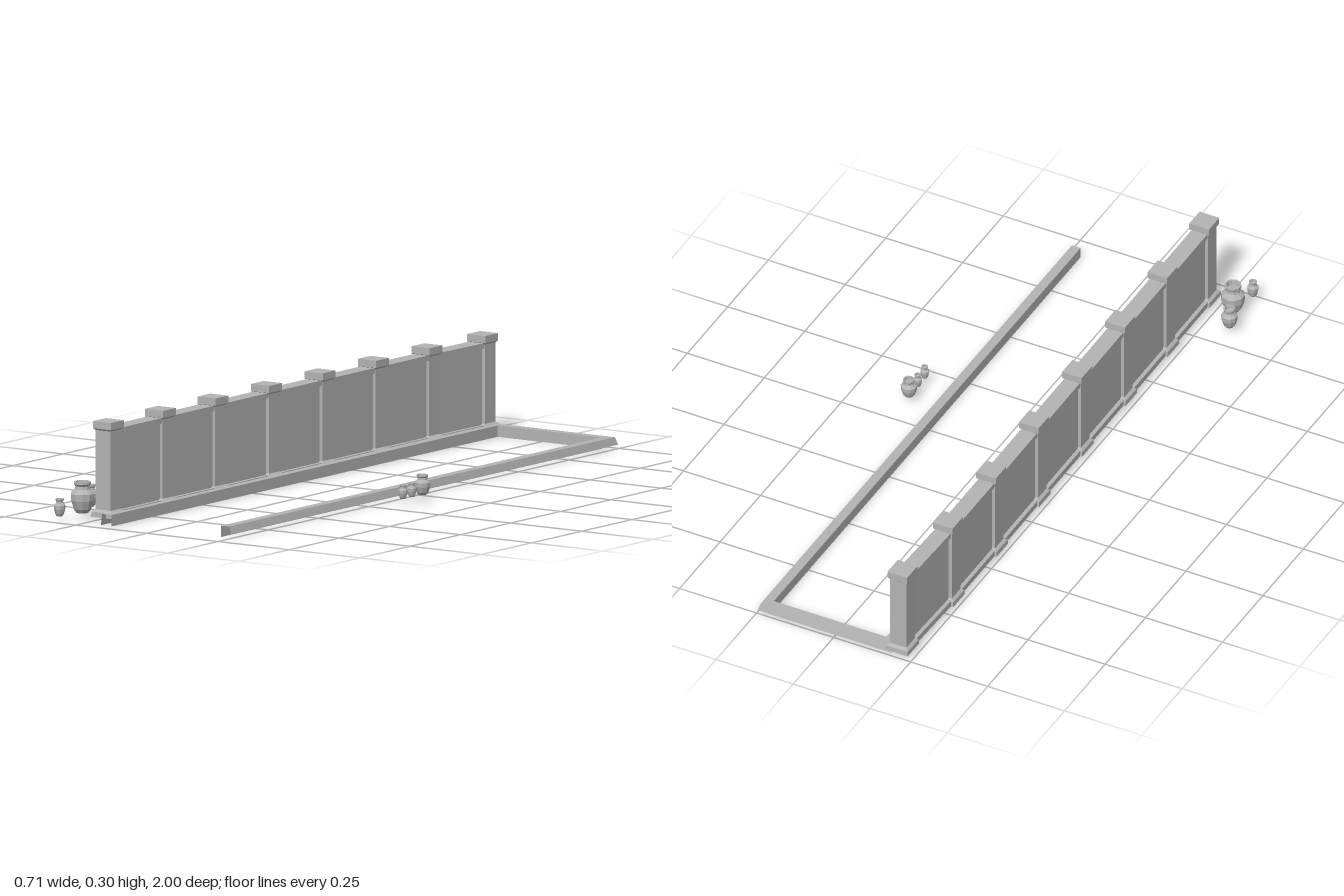
import * as THREE from 'three';

const stone = new THREE.MeshStandardMaterial({ color: 0xb4b4b4, side: THREE.DoubleSide, flatShading: true });
stone.name = 'grey stone';

function add(parent, geometry, name, x = 0, y = 0, z = 0) {
  const mesh = new THREE.Mesh(geometry, stone);
  mesh.name = name;
  mesh.position.set(x, y, z);
  parent.add(mesh);
  return mesh;
}

// Square block that may taper: half widths at bottom and top, between two heights
function block(parent, name, bottom, top, y0, y1) {
  const geo = new THREE.CylinderGeometry(top * Math.SQRT2, bottom * Math.SQRT2, y1 - y0, 4);
  geo.rotateY(Math.PI / 4);
  return add(parent, geo, name, 0, (y0 + y1) / 2, 0);
}

// Open ribbon joining cross-sections that hold the same number of points
function ribbon(sections) {
  const pos = [];
  for (let i = 0; i < sections.length - 1; i++) {
    for (let j = 0; j < sections[i].length - 1; j++) {
      const a = sections[i][j], b = sections[i][j + 1];
      const c = sections[i + 1][j + 1], d = sections[i + 1][j];
      pos.push(...a, ...b, ...c, ...a, ...c, ...d);
    }
  }
  const geo = new THREE.BufferGeometry();
  geo.setAttribute('position', new THREE.Float32BufferAttribute(pos, 3));
  geo.computeVertexNormals();
  return geo;
}

function pillar(x, z) {
  const g = new THREE.Group();
  g.name = 'pillar';
  block(g, 'pillarBase', 0.036, 0.035, 0.024, 0.039);
  block(g, 'pillarBaseMoulding', 0.035, 0.0265, 0.039, 0.046);
  block(g, 'pillarShaft', 0.0265, 0.0265, 0.046, 0.277);
  block(g, 'pillarCapMoulding', 0.0265, 0.032, 0.277, 0.282);
  block(g, 'pillarCap', 0.032, 0.032, 0.282, 0.303);
  g.position.set(x, 0, z);
  return g;
}

// Straight wall bay between two pillar centres
function wallBay([x0, z0], [x1, z1]) {
  const g = new THREE.Group();
  g.name = 'wallBay';
  const length = Math.hypot(x1 - x0, z1 - z0);
  const bar = (name, width, y0, y1) =>
    add(g, new THREE.BoxGeometry(width, y1 - y0, length), name, 0, (y0 + y1) / 2, 0);
  bar('plinth', 0.058, 0.024, 0.042);
  bar('panel', 0.034, 0.042, 0.265);
  bar('coping', 0.05, 0.265, 0.281);
  g.position.set((x0 + x1) / 2, 0, (z0 + z1) / 2);
  g.rotation.y = Math.atan2(x1 - x0, z1 - z0);
  return g;
}

// Faceted vase; profile is [share of radius, share of height]
const vaseProfile = [
  [0, 0], [0.5, 0], [0.74, 0.12], [0.98, 0.4], [1, 0.62], [0.64, 0.76],
  [0.6, 0.86], [0.72, 0.92], [0.72, 1], [0.56, 1], [0.5, 0.84], [0, 0.84],
];

function vase(parent, x, z, radius, y0, y1, sides) {
  const points = vaseProfile.map(([r, h]) => new THREE.Vector2(r * radius, h * (y1 - y0)));
  add(parent, new THREE.LatheGeometry(points, sides), 'vase', x, y0, z);
}

export function createModel() {
  const model = new THREE.Group();
  model.name = 'walledBorder';

  // Wall with eight pillars, bowed very slightly near its back end
  const wall = new THREE.Group();
  wall.name = 'wall';
  const centres = [
    [-0.203, 0.904], [-0.2045, 0.643], [-0.206, 0.379], [-0.2075, 0.109],
    [-0.209, -0.16], [-0.211, -0.428], [-0.212, -0.697], [-0.205, -0.965],
  ];
  centres.forEach(([x, z], i) => {
    wall.add(pillar(x, z));
    if (i > 0) wall.add(wallBay(centres[i - 1], centres[i]));
  });
  model.add(wall);

  // Kerb along the open side and the back, mitred at the corner
  const kerb = [[0, 0.007], [0, 0.04], [0.028, 0.04], [0.035, 0.018]];
  add(model, ribbon([
    kerb.map(([d, y]) => [0.212 + d, y, 0.93]),
    kerb.map(([d, y]) => [0.212 + d, y, -0.965 - d]),
    kerb.map(([d, y]) => [-0.19, y, -0.965 - d]),
  ]), 'outerKerb');

  // Kerb at the foot of the wall
  const foot = [[-0.19, 0.007], [-0.185, 0.04], [-0.153, 0.04], [-0.153, 0.007]];
  add(model, ribbon([0.96, -0.965].map((z) => foot.map(([x, y]) => [x, y, z]))), 'wallKerb');

  // Vases by the wall's front end and beside the open kerb
  const vases = new THREE.Group();
  vases.name = 'vases';
  vase(vases, -0.302, 0.893, 0.035, 0.024, 0.115, 10);
  vase(vases, -0.332, 0.814, 0.024, 0.029, 0.093, 10);
  vase(vases, -0.321, 0.98, 0.017, 0.024, 0.075, 8);
  vase(vases, 0.33, 0.094, 0.024, 0.029, 0.087, 10);
  vase(vases, 0.329, 0.146, 0.0135, 0.029, 0.07, 8);
  vase(vases, 0.329, 0.19, 0.0135, 0.029, 0.07, 8);
  model.add(vases);

  return model;
}
